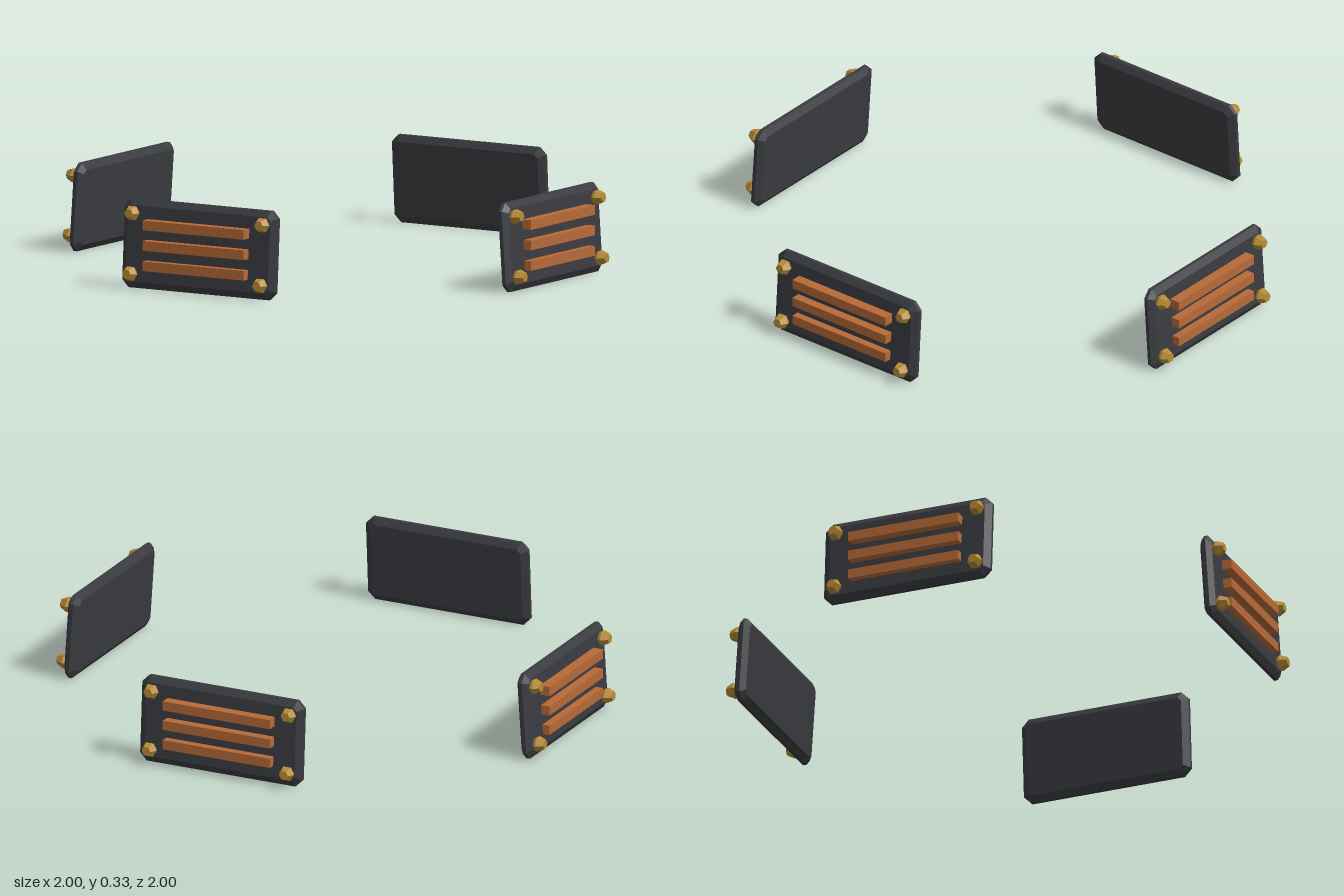
import * as THREE from 'three';

const dark = new THREE.MeshStandardMaterial({ color: 0x3a3b40, flatShading: true });
const copper = new THREE.MeshStandardMaterial({ color: 0xb86a38, flatShading: true });
const brass = new THREE.MeshStandardMaterial({ color: 0xb58a35, flatShading: true });

function part(name, geometry, material, x, y, z) {
  const mesh = new THREE.Mesh(geometry, material);
  mesh.name = name;
  mesh.position.set(x, y, z);
  return mesh;
}

// Clipped-corner slab with chamfered rims, centred on its own middle
function plateGeometry(width, height, depth, cut, chamfer, rim) {
  const w = width / 2 - chamfer, h = height / 2 - chamfer;
  const shape = new THREE.Shape([
    [w, -h + cut], [w, h - cut], [w - cut, h], [-w + cut, h],
    [-w, h - cut], [-w, -h + cut], [-w + cut, -h], [w - cut, -h],
  ].map(([x, y]) => new THREE.Vector2(x, y)));
  const geometry = new THREE.ExtrudeGeometry(shape, {
    depth: depth - 2 * rim, bevelEnabled: true, bevelSegments: 1,
    bevelSize: chamfer, bevelThickness: rim,
  });
  return geometry.translate(0, 0, -depth / 2 + rim);
}

const plateGeo = plateGeometry(0.665, 0.33, 0.046, 0.014, 0.024, 0.016);
const barGeo = new THREE.BoxGeometry(0.44, 0.036, 0.042);

// Hexagonal stud, narrowing to a flat cap along +z
const studGeo = new THREE.LatheGeometry(
  [[0, -0.004], [0.023, -0.004], [0.03, 0.012], [0.018, 0.039], [0, 0.039]]
    .map(([r, y]) => new THREE.Vector2(r, y)), 6)
  .rotateX(Math.PI / 2).rotateZ(Math.PI / 6 * 3);

function createPanel() {
  const panel = new THREE.Group();

  // Plate and corner studs lean inwards at the top
  const leaning = new THREE.Group();
  leaning.name = 'leaningPlate';
  leaning.position.set(0, 0.168, 0.93);
  leaning.rotation.x = -0.067;
  leaning.add(part('plate', plateGeo, dark, 0, 0, 0));
  for (const x of [-0.282, 0.282])
    for (const y of [-0.112, 0.112])
      leaning.add(part('stud', studGeo, brass, x, y, 0.023));
  panel.add(leaning);

  // Upright vent bars
  for (const y of [0.093, 0.169, 0.245])
    panel.add(part('ventBar', barGeo, copper, 0, y, 0.965));
  return panel;
}

export function createModel() {
  const model = new THREE.Group();
  model.name = 'armourPanels';
  ['frontPanel', 'leftPanel', 'backPanel', 'rightPanel'].forEach((name, i) => {
    const panel = createPanel();
    panel.name = name;
    panel.rotation.y = i * Math.PI / 2;
    model.add(panel);
  });
  return model;
}
